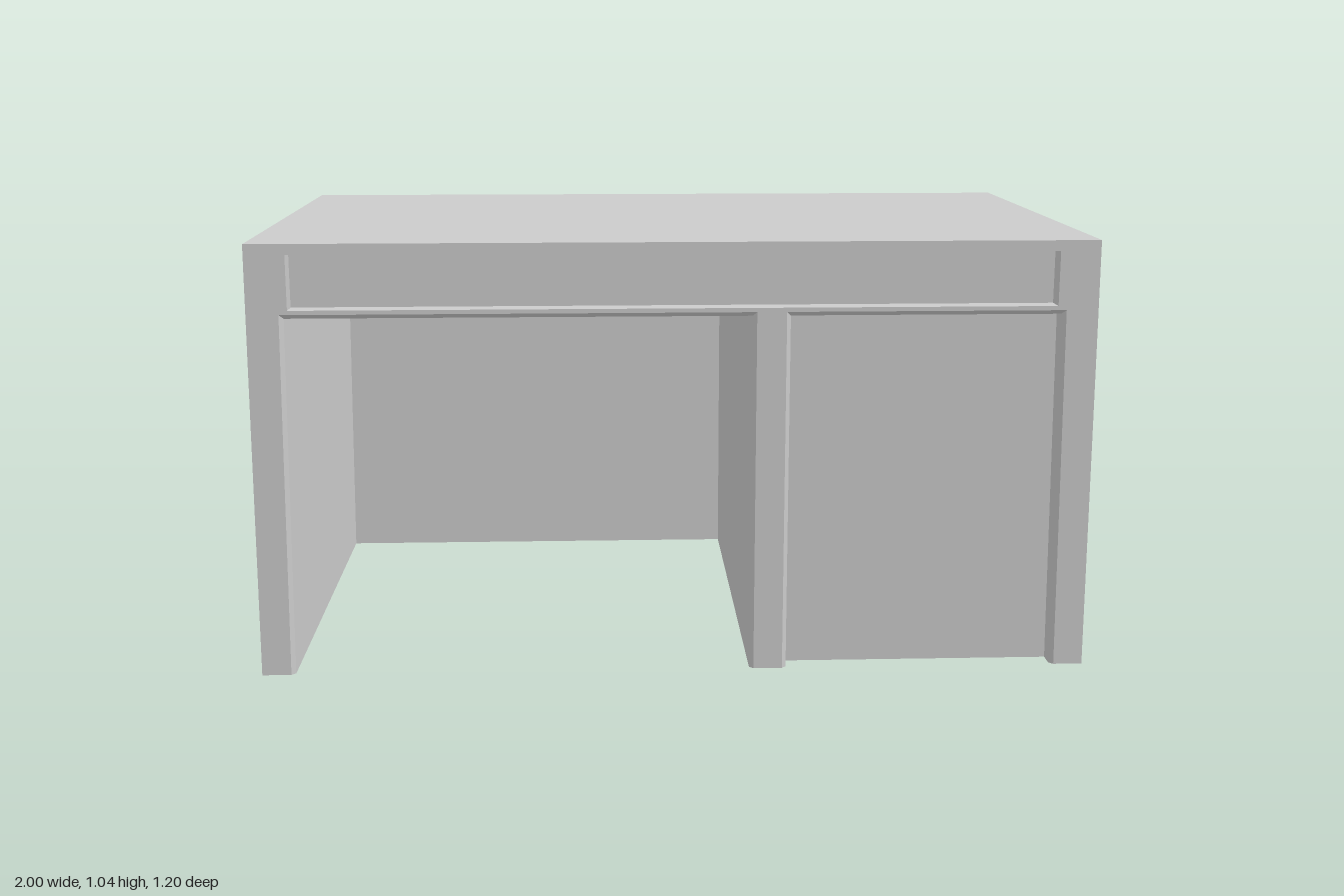
import * as THREE from 'three';

const H = 1.045;
const material = new THREE.MeshStandardMaterial({ color: 0xcccccc });

const shapeOf = (points) => new THREE.Shape(points.map(([x, y]) => new THREE.Vector2(x, y)));

// Extrude a front-on outline between two depths
function slab(name, shape, z0, z1, steps = 1) {
  const geometry = new THREE.ExtrudeGeometry(shape, { depth: z1 - z0, steps, bevelEnabled: false });
  geometry.translate(0, 0, z0);
  const mesh = new THREE.Mesh(geometry, material);
  mesh.name = name;
  return mesh;
}

function panel(name, x0, x1, y0, y1, z0, z1) {
  const mesh = new THREE.Mesh(new THREE.BoxGeometry(x1 - x0, y1 - y0, z1 - z0), material);
  mesh.position.set((x0 + x1) / 2, (y0 + y1) / 2, (z0 + z1) / 2);
  mesh.name = name;
  return mesh;
}

export function createModel() {
  const desk = new THREE.Group();
  desk.name = 'desk';

  // Sides lean in very slightly towards the top
  const rightEnd = [[-1, 0], [-0.92, 0], [-0.91, 0.87], [0.18, 0.87], [0.18, 0]];
  const outerEnd = [[1, 0], [0.995, H], [-0.995, H]];

  // Full back panel
  desk.add(slab('backPanel', shapeOf([[-1, 0], ...outerEnd]), -0.6, -0.5));

  // Top, side walls and solid cabinet around the knee space
  desk.add(slab('carcass', shapeOf([...rightEnd, ...outerEnd]), -0.5, 0.54));

  // Front frame with the knee opening, cabinet opening and drawer slot
  const frameShape = shapeOf([
    ...rightEnd, [0.27, 0], [0.27, 0.87], [0.91, 0.87], [0.92, 0], ...outerEnd,
  ]);
  frameShape.holes.push(new THREE.Path([[-0.9, 0.89], [-0.9, 1.02], [0.9, 1.02], [0.9, 0.89]]
    .map(([x, y]) => new THREE.Vector2(x, y))));
  const frame = slab('frontFrame', frameShape, 0.54, 0.6, 6);

  // Chamfer the front edges of both openings
  const p = frame.geometry.attributes.position;
  const c = 0.01;
  for (let i = 0; i < p.count; i++) {
    const x = p.getX(i), y = p.getY(i);
    if (p.getZ(i) < 0.599 || y > 0.88 || Math.abs(x) > 0.95) continue;
    const onPostRight = x > 0.17 && x < 0.2;
    const onOuterLeft = x > 0.5;
    p.setX(i, x + (onPostRight || onOuterLeft ? c : -c));
    if (y > 0.5) p.setY(i, y + c);
  }
  frame.geometry.computeVertexNormals();
  desk.add(frame);

  // Recessed drawer front and cabinet door
  desk.add(panel('drawerFront', -0.91, 0.91, 0.88, 1.03, 0.53, 0.55));
  desk.add(panel('cabinetDoor', 0.26, 0.925, 0, 0.875, 0.53, 0.55));

  return desk;
}
